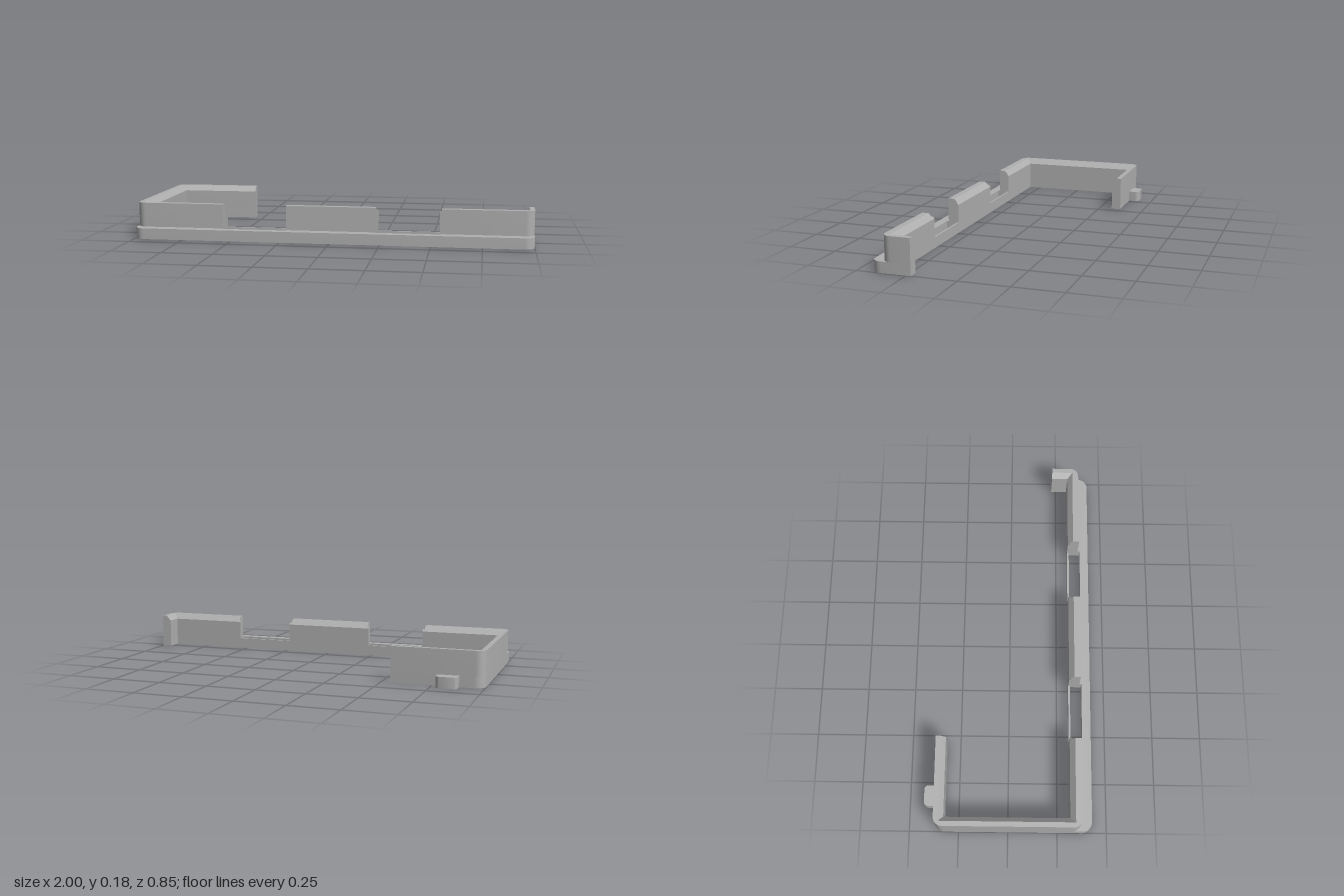
import * as THREE from 'three';
import { toCreasedNormals } from 'three/addons/utils/BufferGeometryUtils.js';

const BASE_H = 0.055, TOP = 0.178, BEVEL_Y = 0.15;

// Arc replacing a right-angled corner p, between directions d1 (back along the path) and d2 (ahead)
function arc(p, d1, d2, r, n = 8) {
  return Array.from({ length: n + 1 }, (_, i) => {
    const t = (i / n) * Math.PI / 2, a = r * (1 - Math.sin(t)), b = r * (1 - Math.cos(t));
    return [p[0] + d1[0] * a + d2[0] * b, p[1] + d1[1] * a + d2[1] * b];
  });
}

// Polygon of [x, z, radius] corners as a list of 2D points
function roundedPolygon(corners) {
  const dir = (a, b) => {
    const l = Math.hypot(b[0] - a[0], b[1] - a[1]);
    return [(b[0] - a[0]) / l, (b[1] - a[1]) / l];
  };
  const n = corners.length;
  return corners.flatMap((p, i) => p[2]
    ? arc(p, dir(p, corners[(i + n - 1) % n]), dir(p, corners[(i + 1) % n]), p[2])
    : [[p[0], p[1]]]).map(([x, z]) => new THREE.Vector2(x, -z));
}

// Bevelled wall swept through stations of [outer, crest, inner] plan points
function wallGeometry(stations, top = TOP) {
  const rings = stations.map(([o, c, i]) => [
    [o[0], BASE_H, o[1]], [o[0], top, o[1]], [c[0], top, c[1]],
    [i[0], BEVEL_Y, i[1]], [i[0], BASE_H, i[1]],
  ].map((v) => new THREE.Vector3(...v)));
  const pos = [];
  const tri = (a, b, c) => {
    const area = b.clone().sub(a).cross(c.clone().sub(a)).length();
    if (area > 1e-9) for (const v of [a, b, c]) pos.push(v.x, v.y, v.z);
  };
  for (let s = 0; s < rings.length - 1; s++) {
    const r = rings[s], q = rings[s + 1];
    for (let k = 0; k < 4; k++) {
      tri(r[k], q[k], r[k + 1]);
      tri(r[k + 1], q[k], q[k + 1]);
    }
  }
  const first = rings[0], last = rings[rings.length - 1];
  for (let k = 1; k < 4; k++) {
    tri(first[0], first[k], first[k + 1]);
    tri(last[0], last[k + 1], last[k]);
  }
  const g = new THREE.BufferGeometry();
  g.setAttribute('position', new THREE.Float32BufferAttribute(pos, 3));
  return toCreasedNormals(g, 0.4);
}

export function createModel() {
  const group = new THREE.Group();
  const grey = new THREE.MeshStandardMaterial({ color: 0xb0b0b0 });
  grey.name = 'grey plastic';
  const add = (name, geometry) => {
    const m = new THREE.Mesh(geometry, grey);
    m.name = name;
    group.add(m);
    return m;
  };

  // Base: footprint of walls, front ledge and rear tab, with slots and round pockets
  const shape = new THREE.Shape(roundedPolygon([
    [-0.545, -0.32], [-0.545, -0.37], [-0.775, -0.37], [-0.775, -0.427, 0.02],
    [-0.88, -0.427, 0.02], [-0.88, -0.37], [-1, -0.37, 0.05], [-1, 0.425, 0.05],
    [1, 0.425, 0.05], [1, 0.225], [0.95, 0.225], [0.95, 0.31], [-0.95, 0.31], [-0.95, -0.32],
  ]));
  for (const s of [-1, 1]) {
    shape.holes.push(new THREE.Path(roundedPolygon([
      [s * 0.225, 0.32], [s * 0.55, 0.32], [s * 0.55, 0.38], [s * 0.225, 0.38],
    ])));
  }
  const pockets = [[0, 0.365], [-0.828, -0.378]], pocketR = 0.035;
  for (const [x, z] of pockets) {
    const hole = new THREE.Path();
    hole.absarc(x, -z, pocketR, 0, Math.PI * 2, true);
    shape.holes.push(hole);
  }
  const base = new THREE.ExtrudeGeometry(shape, { depth: BASE_H, bevelEnabled: false, curveSegments: 16 });
  base.rotateX(-Math.PI / 2);
  add('base', toCreasedNormals(base, 0.5));

  // Pocket ceilings
  for (const [x, z] of pockets) {
    const plug = add('pocketCeiling', new THREE.CylinderGeometry(pocketR, pocketR, 0.012, 32));
    plug.position.set(x, BASE_H - 0.006, z);
  }

  // Walls
  const front = (x) => [[x, 0.37], [x, 0.337], [x, 0.31]];
  const back = (x) => [[x, -0.37], [x, -0.345], [x, -0.32]];
  const corner = (outer, crest, inner, d1, d2) =>
    arc(outer, d1, d2, 0.045).map((o) => [o, crest, inner]);

  add('sideWall', wallGeometry([
    back(-0.545),
    ...corner([-1, -0.37], [-0.975, -0.345], [-0.95, -0.32], [1, 0], [0, 1]),
    ...corner([-1, 0.37], [-0.975, 0.337], [-0.95, 0.31], [0, -1], [1, 0]),
    front(-0.55),
  ]));
  add('middleWall', wallGeometry([front(-0.225), front(0.225)]));
  add('endWall', wallGeometry([
    front(0.55),
    ...corner([1, 0.37], [0.975, 0.337], [0.95, 0.31], [-1, 0], [0, -1]),
    [[1, 0.225], [0.975, 0.225], [0.95, 0.225]],
  ]));

  // Thin lips narrowing the gaps on the inner side
  const lip = (x) => [[x, 0.32], [x, 0.32], [x, 0.31]];
  for (const [a, b] of [[-0.55, -0.54], [-0.235, -0.225], [0.225, 0.235], [0.54, 0.55]]) {
    add('gapLip', wallGeometry([lip(a), lip(b)], 0.161));
  }
  return group;
}
